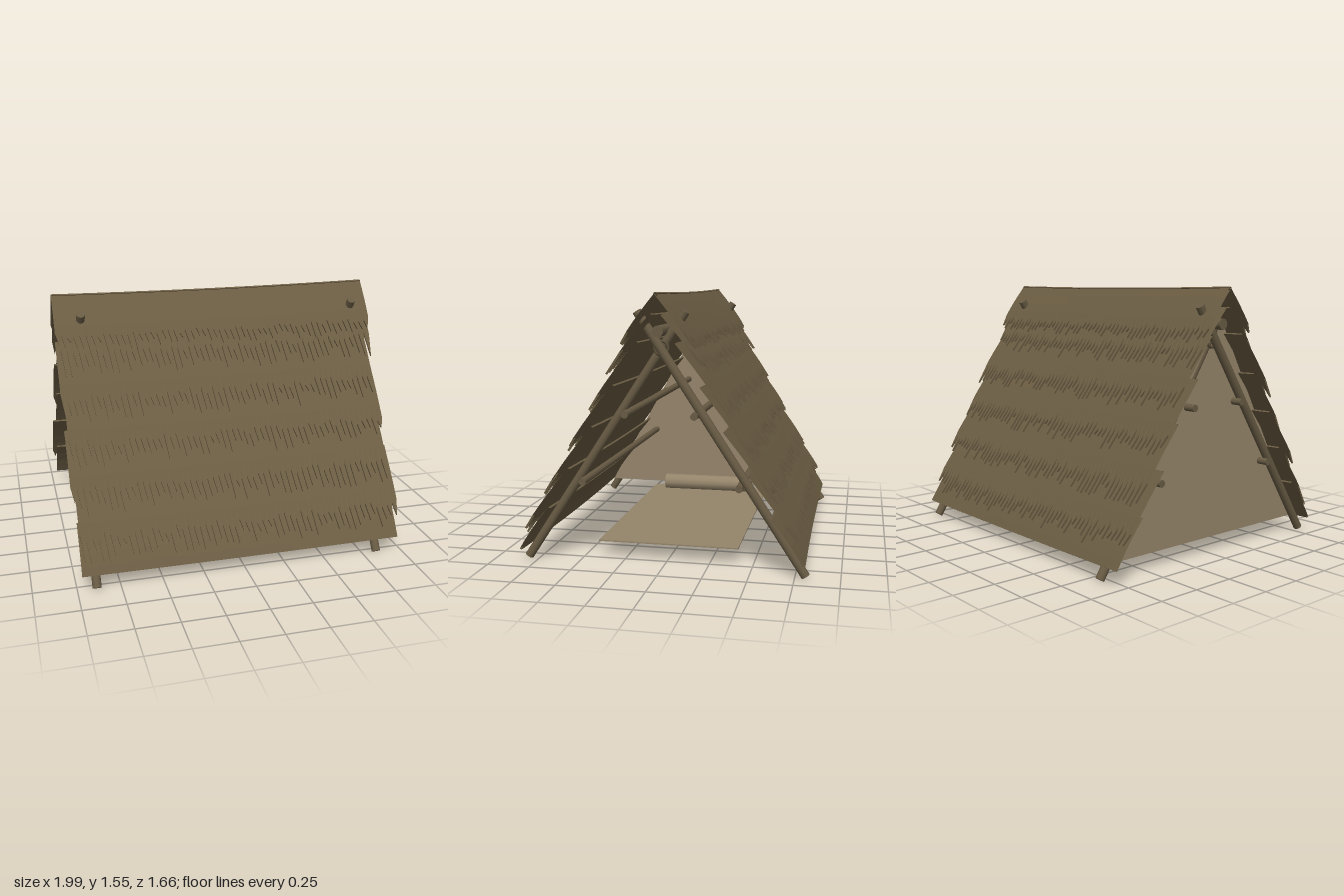
import * as THREE from 'three';

const mat = (name, color, extra = {}) => {
  const m = new THREE.MeshStandardMaterial({ color, ...extra });
  m.name = name;
  return m;
};

function seeded(seed) {
  return () => ((seed = (seed * 16807) % 2147483647) / 2147483647);
}

// Point on the sloping roof: height, offset along the outward normal, slight sag mid-span
function roofPoint(x, y, off) {
  const sag = 1 - x * x;
  const down = (1.56 - y) * 0.555;
  return [x, y + off * 0.485 - 0.009 * sag, down + off * 0.874 - 0.012 * sag * down];
}

// Thin shell of thatch with a ragged or straight lower edge
function thatchGeometry({ top, valley, tip, offTop, offTip, x0, x1, thick = 0.012, seed }) {
  const rnd = seeded(seed);
  const cols = valley === tip ? 24 : 112;
  const steps = [0, 0.3, 0.6, 0.85, 1];
  const rings = [];
  for (let i = 0; i <= cols; i++) {
    const x = x0 + ((x1 - x0) * i) / cols;
    const end = valley === tip ? tip
      : i % 2 ? tip + (rnd() * 0.55 - 0.05) * (valley - tip)
        : valley - rnd() * 0.3 * (valley - tip);
    const point = (t, depth) => {
      const y = t < 1 ? top + (valley + 0.01 - top) * t : end;
      const u = (top - y) / (top - tip);
      const off = offTop + (offTip - offTop) * u + 0.008 * Math.sin(Math.PI * u);
      return roofPoint(x, y, off - depth);
    };
    rings.push([
      ...steps.map(t => point(t, 0)),
      ...steps.slice().reverse().map(t => point(t, thick)),
    ]);
  }
  const pos = [];
  const n = rings[0].length;
  for (let i = 0; i < cols; i++) {
    for (let j = 0; j < n; j++) {
      const k = (j + 1) % n;
      const a = rings[i][j], b = rings[i][k], c = rings[i + 1][k], d = rings[i + 1][j];
      pos.push(...a, ...b, ...c, ...a, ...c, ...d);
    }
  }
  const g = new THREE.BufferGeometry();
  g.setAttribute('position', new THREE.Float32BufferAttribute(pos, 3));
  g.computeVertexNormals();
  return g;
}

export function createModel() {
  const model = new THREE.Group();
  model.name = 'thatchedShelter';
  const thatch = mat('thatch brown', 0x6b5d43, { side: THREE.DoubleSide });
  const wood = mat('pole wood', 0x675a43);
  const cloth = mat('woven tan', 0x94846a, { side: THREE.DoubleSide });
  const cord = mat('lashing cord', 0x5a4e3a);

  const add = (name, geometry, material, parent = model) => {
    const m = new THREE.Mesh(geometry, material);
    m.name = name;
    parent.add(m);
    return m;
  };
  const pole = (name, a, b, r, material = wood) => {
    const from = new THREE.Vector3(...a), to = new THREE.Vector3(...b);
    const dir = to.clone().sub(from);
    const m = add(name, new THREE.CylinderGeometry(r, r, dir.length(), 12), material);
    m.position.copy(from).add(to).multiplyScalar(0.5);
    m.quaternion.setFromUnitVectors(new THREE.Vector3(0, 1, 0), dir.normalize());
    return m;
  };

  // Roof: straight eave strip, five ragged rows and a ridge cap on each slope
  const rows = [{ top: 0.37, valley: 0.1, tip: 0.1, offTop: -0.03, offTip: 0.004, x0: -0.97, x1: 0.97 }];
  for (let i = 0; i < 5; i++) {
    const shift = [0.015, -0.01, 0.005, -0.015, 0.01][i];
    rows.push({
      top: Math.min(0.605 + i * 0.235, 1.46), valley: 0.31 + i * 0.235, tip: 0.165 + i * 0.235,
      offTop: -0.028, offTip: 0.037, x0: -0.98 + shift, x1: 0.98 + shift,
    });
  }
  rows.push({ top: 1.56, valley: 1.335, tip: 1.235, offTop: 0, offTip: 0.045, x0: -0.995, x1: 0.995 });
  for (const side of [0, 1]) {
    const slope = new THREE.Group();
    slope.name = side ? 'backRoof' : 'frontRoof';
    slope.rotation.y = side * Math.PI;
    rows.forEach((row, i) => {
      const name = i === 0 ? 'eaveStrip' : i === 6 ? 'ridgeCap' : 'thatchRow';
      add(name, thatchGeometry({ ...row, seed: 71 + i * 97 + side * 1009 }), thatch, slope);
    });
    model.add(slope);
  }

  // Crossed end poles with lashings
  for (const [xa, xb] of [[-0.89, -0.838], [0.832, 0.885]]) {
    pole('frontFootPole', [xa, 0.02, 0.81], [xa, 1.455, -0.13], 0.026);
    pole('backFootPole', [xb, 0.02, -0.81], [xb, 1.455, 0.13], 0.026);
    const lash = add('crossLashing', new THREE.TorusGeometry(0.038, 0.009, 8, 20), cord);
    lash.rotation.y = Math.PI / 2;
    lash.position.set((xa + xb) / 2, 1.255, 0);
  }

  // Ridge pole and purlins
  pole('ridgePole', [-0.95, 1.35, 0], [0.95, 1.35, 0], 0.032);
  for (const s of [1, -1]) {
    for (const [y, z] of [[0.89, 0.195], [0.5, 0.445]]) {
      pole('purlin', [-0.93, y, s * z], [0.93, y, s * z], 0.021);
    }
  }

  // Closed end wall
  const tri = new THREE.Shape([
    new THREE.Vector2(-0.79, 0.1), new THREE.Vector2(0.79, 0.1), new THREE.Vector2(0, 1.52),
  ]);
  const wall = add('endWall', new THREE.ExtrudeGeometry(tri, { depth: 0.012, bevelEnabled: false }), cloth);
  wall.rotation.y = Math.PI / 2;
  wall.position.x = -0.86;

  // Sleeping mat with a rolled pillow
  const bed = add('sleepingMat', new THREE.BoxGeometry(1.43, 0.008, 0.83), cloth);
  bed.position.set(0.015, 0.102, 0);
  pole('rolledPillow', [-0.61, 0.157, -0.315], [-0.61, 0.157, 0.315], 0.054, cloth);

  return model;
}
